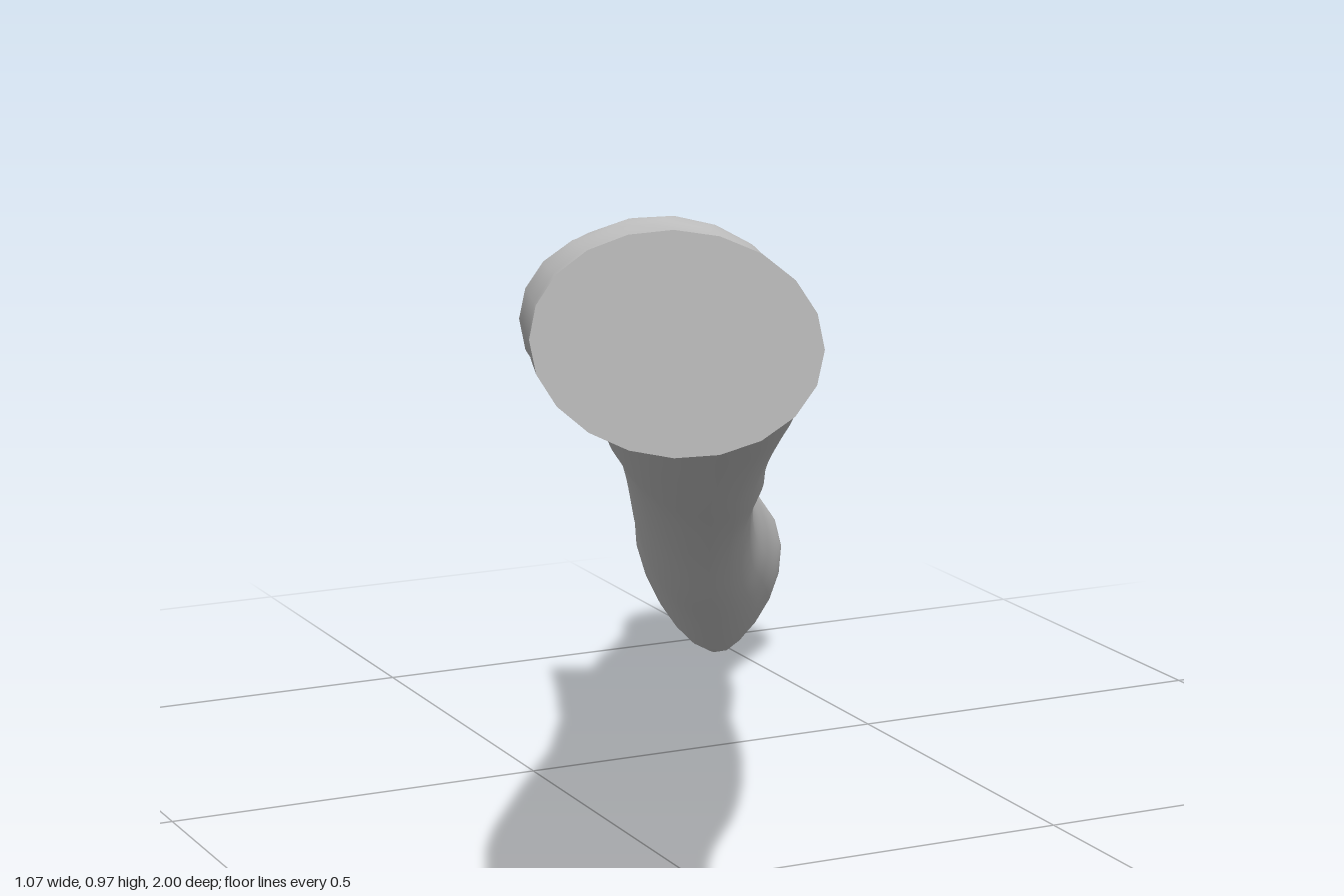
import * as THREE from 'three';

const SIDES = 20;

// Section rows: centre x, y, z | half-width x, y, z | half-height x, y, z | egg taper
const trunkSections = [
  [-0.443, 0.86, 0.865, 0.09, 0.012, 0.136, 0, 0.11, 0, 0],
  [-0.368, 0.832, 0.655, 0.092, 0.005, 0.113, 0, 0.102, 0, 0],
  [-0.272, 0.792, 0.455, 0.118, -0.005, 0.075, 0, 0.108, 0, 0],
  [-0.155, 0.75, 0.27, 0.125, -0.015, 0.07, 0, 0.118, 0, 0],
  [-0.045, 0.667, 0.075, 0.108, -0.025, 0.07, 0, 0.119, 0, 0],
  [0.045, 0.587, -0.125, 0.105, -0.03, 0.06, 0, 0.125, 0, 0],
  [0.125, 0.515, -0.31, 0.095, -0.035, 0.06, 0, 0.132, 0, 0],
  [0.208, 0.442, -0.46, 0.09, -0.035, 0.045, 0, 0.126, 0, 0],
  [0.275, 0.36, -0.6, 0.083, -0.035, 0.035, 0, 0.123, 0, 0],
  [0.337, 0.27, -0.715, 0.08, -0.035, 0.032, 0, 0.126, 0, 0],
  [0.397, 0.205, -0.81, 0.082, -0.025, 0.045, 0, 0.126, 0, 0.12],
  [0.45, 0.147, -0.9, 0.078, -0.01, 0.072, 0, 0.132, 0, 0.28],
  [0.47, 0.136, -0.922, 0.06, -0.005, 0.075, 0, 0.135, 0, 0.3],
];
const stubSections = [
  [-0.04, 0.64, 0.06, 0.075, -0.01, 0.04, 0, 0.09, 0, 0],
  [0.01, 0.615, -0.11, 0.075, -0.015, 0.038, 0, 0.118, 0.01, 0],
  [0.062, 0.615, -0.27, 0.066, -0.015, 0.035, -0.01, 0.105, 0.025, 0],
  [0.09, 0.65, -0.408, 0.046, -0.005, 0.026, -0.028, 0.07, 0.052, 0],
];

// Smooth rings of points through a list of sections, with slight bark unevenness
function makeRings(sections, steps, bump) {
  const curve = (pick) => new THREE.CatmullRomCurve3(
    sections.map((s) => new THREE.Vector3(...pick(s))), false, 'catmullrom', 0.5);
  const centre = curve((s) => s.slice(0, 3));
  const width = curve((s) => s.slice(3, 6));
  const height = curve((s) => s.slice(6, 9));
  const taper = curve((s) => [s[9], 0, 0]);
  const rings = [];
  for (let i = 0; i <= steps; i++) {
    const t = i / steps;
    const c = centre.getPoint(t), w = width.getPoint(t), h = height.getPoint(t);
    const egg = taper.getPoint(t).x;
    const ring = [];
    for (let j = 0; j < SIDES; j++) {
      const a = (j / SIDES) * Math.PI * 2;
      const uneven = 1 + bump * Math.sin(Math.PI * t) *
        (Math.sin(3 * a + 17 * t) + Math.sin(2 * a - 31 * t));
      ring.push(c.clone()
        .addScaledVector(w, Math.cos(a) * (1 + egg * Math.sin(a)) * uneven)
        .addScaledVector(h, Math.sin(a) * uneven));
    }
    rings.push(ring);
  }
  return rings;
}

function makeGeometry(points, index) {
  const g = new THREE.BufferGeometry().setFromPoints(points);
  g.setIndex(index);
  g.computeVertexNormals();
  return g;
}

// Bark surface joining neighbouring rings
function skin(rings) {
  const index = [];
  for (let i = 0; i < rings.length - 1; i++) {
    for (let j = 0; j < SIDES; j++) {
      const k = (j + 1) % SIDES;
      const a = i * SIDES + j, b = a + SIDES, c = i * SIDES + k, d = c + SIDES;
      index.push(a, b, c, b, d, c);
    }
  }
  return makeGeometry(rings.flat(), index);
}

// Flat sawn face over one ring
function cutFace(ring, atEnd) {
  const index = [];
  for (let j = 1; j < SIDES - 1; j++) {
    index.push(0, atEnd ? j + 1 : j, atEnd ? j : j + 1);
  }
  return makeGeometry(ring, index);
}

export function createModel() {
  const wood = new THREE.MeshStandardMaterial({ color: 0xcccccc });
  wood.name = 'paleGreyWood';
  const model = new THREE.Group();
  model.name = 'branch';
  const add = (name, geometry) => {
    const mesh = new THREE.Mesh(geometry, wood);
    mesh.name = name;
    model.add(mesh);
  };

  // Main limb with sawn faces at both ends
  const limb = makeRings(trunkSections, 72, 0.012);
  add('limb', skin(limb));
  add('upperCutFace', cutFace(limb[0], false));
  add('lowerCutFace', cutFace(limb[limb.length - 1], true));

  // Sawn-off side shoot emerging from the limb
  const stub = makeRings(stubSections, 18, 0.01);
  add('sideStub', skin(stub));
  add('stubCutFace', cutFace(stub[stub.length - 1], true));

  return model;
}
